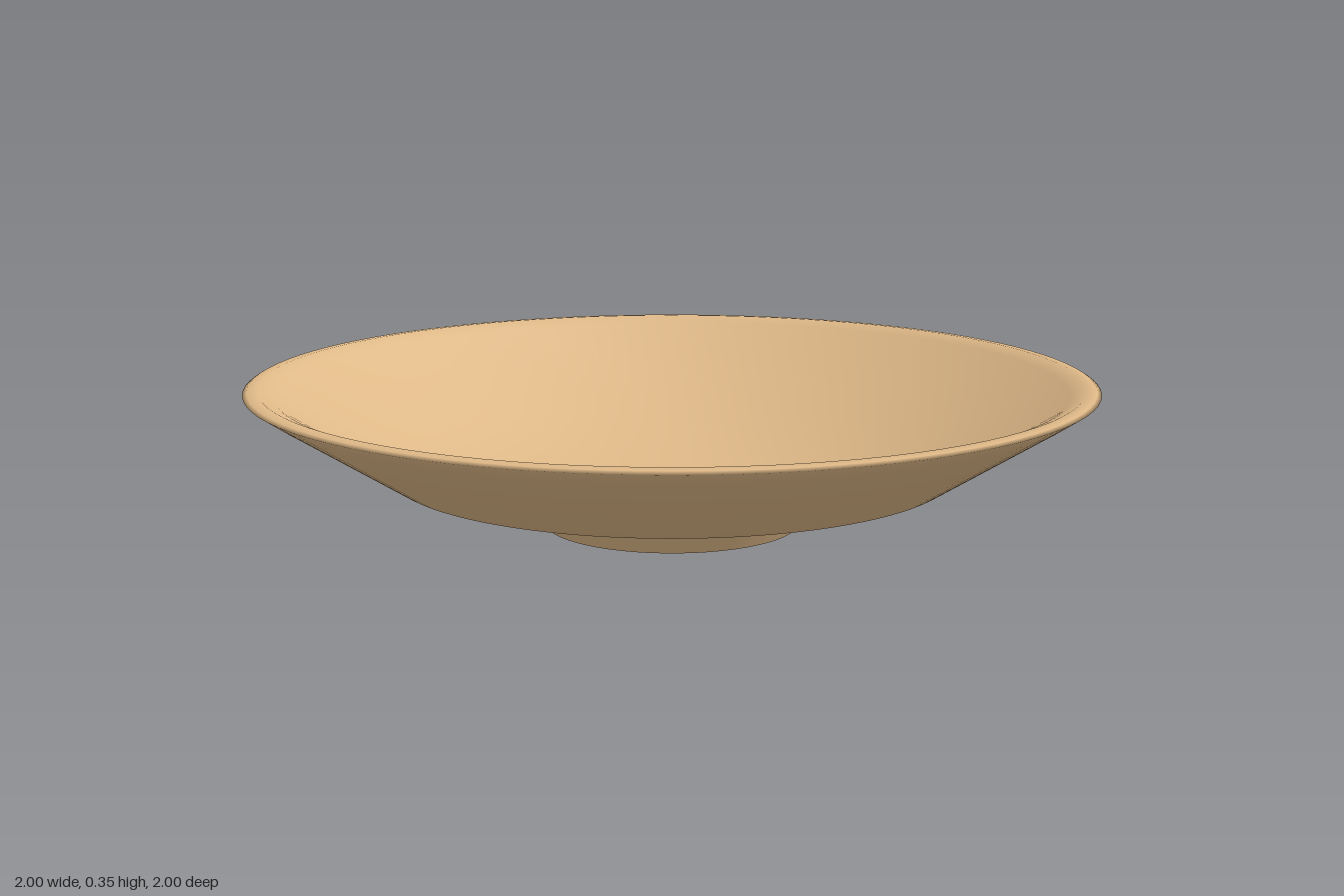
import * as THREE from 'three';

export function createModel() {
  const model = new THREE.Group();
  const clay = new THREE.MeshStandardMaterial({ color: 0xdeb887 });
  clay.name = 'warm tan';
  const SIDES = 96;

  // Closed wall: underside outwards, round the rim, then inside to the centre
  const profile = [
    [0.32, 0.04], [0.67, 0.13], [0.96, 0.315], [1, 0.342],
    [0.99, 0.348], [0.965, 0.35], [0.93, 0.335],
    [0.65, 0.165], [0.33, 0.08], [0, 0.06],
  ].map(([r, y]) => new THREE.Vector2(r, y));
  const bowl = new THREE.Mesh(new THREE.LatheGeometry(profile, SIDES), clay);
  bowl.name = 'bowl';
  model.add(bowl);

  // Tapered foot with a flat base
  const foot = new THREE.Mesh(new THREE.CylinderGeometry(0.335, 0.307, 0.044, SIDES), clay);
  foot.position.y = 0.022;
  foot.name = 'foot';
  model.add(foot);

  return model;
}
